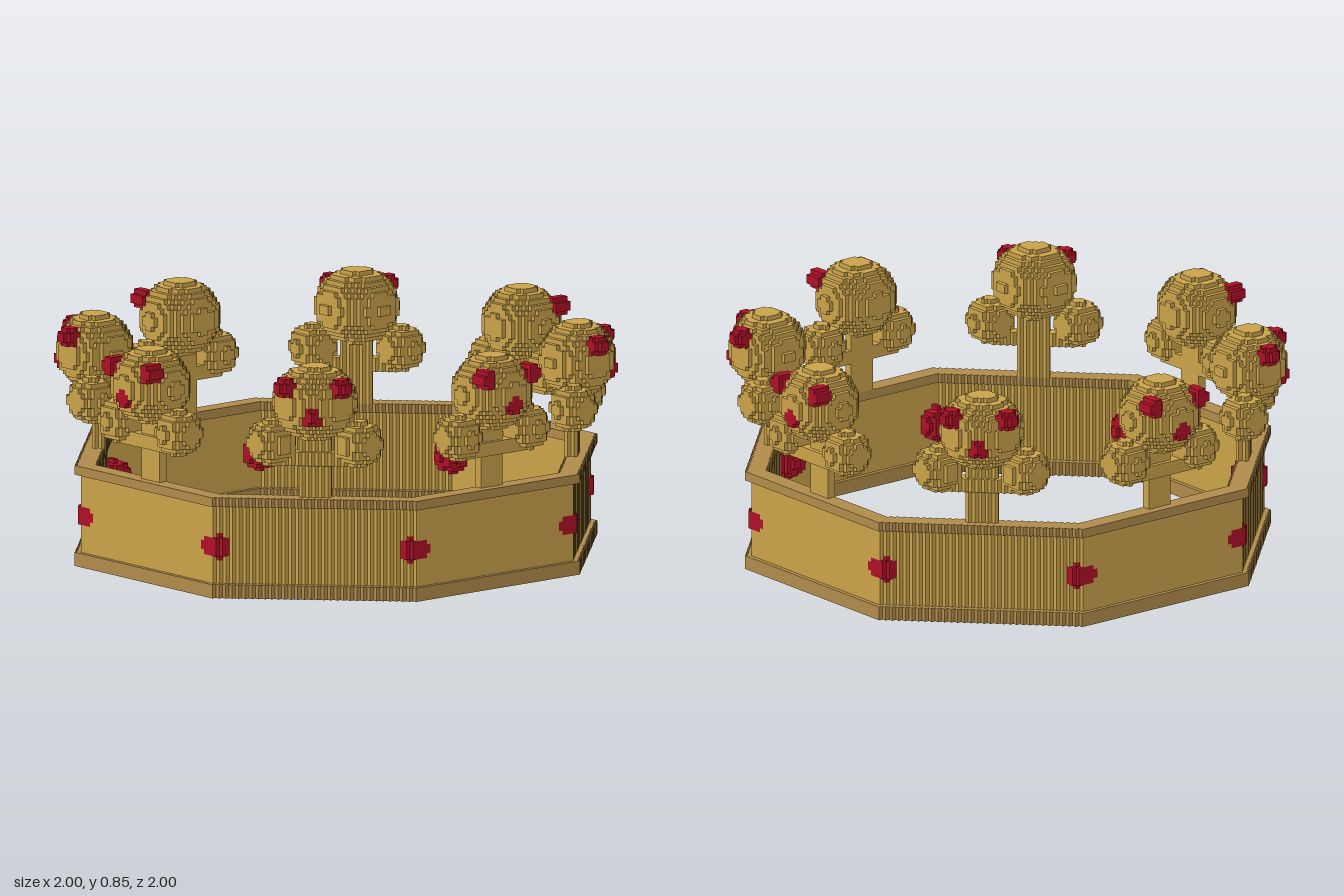
import * as THREE from 'three';

// Voxel grid: 120 x 51 x 120 cells, all sizes below are in cells
const V = 1 / 60;
const SIZE = [120, 51, 120];

const material = (name, color) => {
  const m = new THREE.MeshStandardMaterial({ color });
  m.name = name;
  return m;
};

// Normalised squared distance from an ellipsoid's centre
const inBall = (p, c, r) =>
  ((p[0] - c[0]) / r[0]) ** 2 + ((p[1] - c[1]) / r[1]) ** 2 + ((p[2] - c[2]) / r[2]) ** 2 < 1;

const CORNER = Math.PI / 8;

// Each part is a rule on [u, y, w]: distance sideways from the middle of
// one of the eight sides, height, and distance outwards from the centre.
// Earlier parts win where parts overlap.
function makeParts() {
  const gold = material('gold', 0xc9a24a);
  const rim = material('dark gold', 0xb08b4a);
  const red = material('jewel red', 0xae0f26);
  return [
    { name: 'cornerJewels', mat: red,
      test: p => inBall(p, [54 * Math.sin(CORNER), 11, 54 * Math.cos(CORNER)], [3.6, 3.6, 3.6]) },
    { name: 'upperJewels', mat: red, test: p => inBall(p, [6.1, 47, 57], [2, 2.2, 2.3]) },
    { name: 'frontJewels', mat: red, test: p => inBall(p, [0, 41, 58], [2.25, 2.25, 2.25]) },
    { name: 'bottomRim', mat: rim, test: ([, y, w]) => y < 3 && w > 50 && w < 54 },
    { name: 'topRim', mat: rim, test: ([, y, w]) => y > 20 && y < 22 && w > 50 && w < 54 },
    { name: 'bandWall', mat: gold, test: ([, y, w]) => y < 22 && w > 51 && w < 53 },
    { name: 'mainOrbs', mat: gold, test: p => inBall(p, [0, 43, 52], [8.7, 8.1, 8]) },
    { name: 'sideOrbs', mat: gold, test: p => inBall(p, [9.5, 34, 52], [4.9, 4.8, 4.8]) },
    { name: 'stems', mat: gold, test: ([u, y, w]) => u < 3.1 && y > 22 && y < 40 && w > 50 && w < 52.2 },
    { name: 'stemArms', mat: gold, test: ([u, y, w]) => u < 9 && y > 29 && y < 32 && w > 50 && w < 53 },
  ];
}

// Fold a cell centre into one eighth of the ring
function fold(x, y, z) {
  const a = Math.round(Math.atan2(x, z) / (Math.PI / 4)) * Math.PI / 4;
  const s = Math.sin(a), c = Math.cos(a);
  return [Math.abs(x * c - z * s), y, x * s + z * c];
}

export function createModel() {
  const parts = makeParts();
  const [nx, ny, nz] = SIZE;

  // Fill the grid with part numbers
  const grid = new Uint8Array(nx * ny * nz);
  const cell = ([i, j, k]) =>
    i < 0 || j < 0 || k < 0 || i >= nx || j >= ny || k >= nz ? 0 : grid[(j * nz + k) * nx + i];
  for (let k = 0; k < nz; k++) for (let i = 0; i < nx; i++) {
    const f = fold(i + 0.5 - nx / 2, 0, k + 0.5 - nz / 2);
    if (f[2] < 42) continue;
    for (let j = 0; j < ny; j++) {
      f[1] = j + 0.5;
      grid[(j * nz + k) * nx + i] = parts.findIndex(p => p.test(f)) + 1;
    }
  }

  // Exposed cell faces, joined into strips along one axis
  const positions = parts.map(() => []);
  const step = (c, axis, n) => { const o = c.slice(); o[axis] += n; return o; };
  for (const [d, r, t, turn] of [[0, 1, 2, 1], [1, 2, 0, 1], [2, 1, 0, -1]]) {
    for (const s of [1, -1]) {
      const shows = (c, id) => cell(c) === id && cell(step(c, d, s)) === 0;
      for (let j = 0; j < ny; j++) for (let k = 0; k < nz; k++) for (let i = 0; i < nx; i++) {
        const c = [i, j, k], id = cell(c);
        if (!id || !shows(c, id) || shows(step(c, r, -1), id)) continue;
        let n = 1;
        while (shows(step(c, r, n), id)) n++;
        const base = s > 0 ? step(c, d, 1) : c;
        const q = [base, step(base, r, n), step(step(base, r, n), t, 1), step(base, t, 1)];
        if (s * turn < 0) q.reverse();
        for (const m of [0, 1, 2, 0, 2, 3]) {
          positions[id - 1].push((q[m][0] - nx / 2) * V, q[m][1] * V, (q[m][2] - nz / 2) * V);
        }
      }
    }
  }

  // One mesh per kind of part
  const group = new THREE.Group();
  group.name = 'crown';
  parts.forEach((part, n) => {
    if (!positions[n].length) return;
    const geo = new THREE.BufferGeometry();
    geo.setAttribute('position', new THREE.Float32BufferAttribute(positions[n], 3));
    geo.computeVertexNormals();
    const mesh = new THREE.Mesh(geo, part.mat);
    mesh.name = part.name;
    group.add(mesh);
  });
  return group;
}
